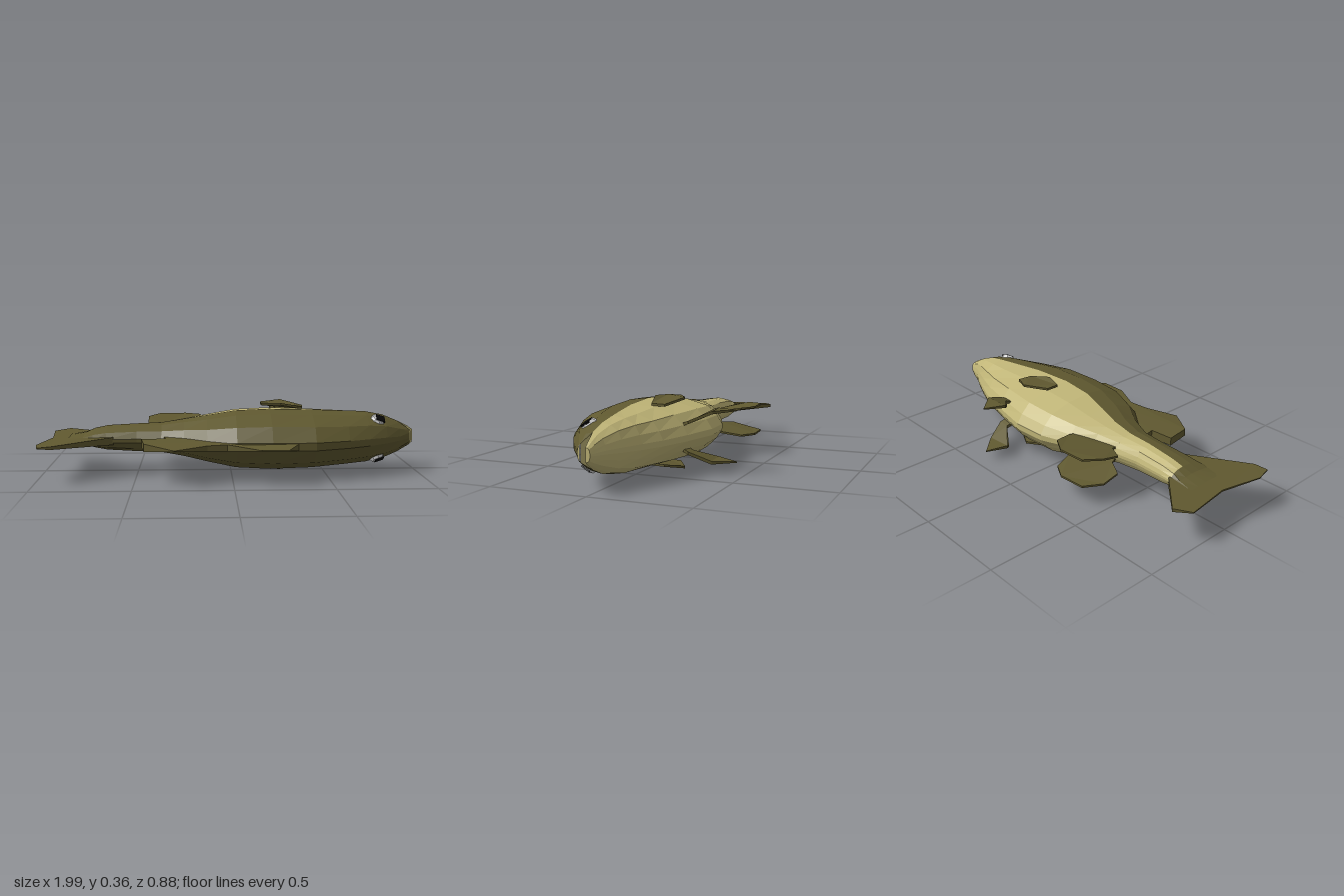
import * as THREE from 'three';

const MID = 0.184; // height of the plane of symmetry: the fish lies on its side

const paint = (name, color) => new THREE.MeshStandardMaterial({ name, color, flatShading: true });

// Skin rows of points (rows run towards +x); optionally cap the last row.
function loft(rows, cap = false) {
  const n = rows[0].length, index = [];
  for (let i = 0; i < rows.length - 1; i++) {
    for (let j = 0; j < n - 1; j++) {
      const a = i * n + j, c = a + n;
      index.push(a, a + 1, c, a + 1, c + 1, c);
    }
  }
  const last = (rows.length - 1) * n;
  if (cap) for (let j = 1; j < n - 1; j++) index.push(last, last + j, last + j + 1);
  const g = new THREE.BufferGeometry();
  g.setAttribute('position', new THREE.Float32BufferAttribute(rows.flat(2), 3));
  g.setIndex(index);
  g.computeVertexNormals();
  return g;
}

// Half cross-sections: [fraction from colour line to edge, fraction of half width]
const BACK = [[0, 1], [0.38, 0.91], [0.8, 0.6], [1, 0.13]];
const BELLY = [[0, 1], [0.4, 0.93], [0.76, 0.72], [0.91, 0.4], [1, 0.1]];

function section(profile, x, split, edge, h, side) {
  const pts = profile.map(([t, w]) => [x, side * w * h, split + (edge - split) * t]);
  return [...pts, ...pts.map(([px, y, z]) => [px, -y, z]).reverse()];
}
const backRow = ([x, top, split, , h]) => section(BACK, x, split, top, h, 1);
const bellyRow = ([x, , split, bottom, h]) => section(BELLY, x, split, bottom, h, -1);

// Thin plate from an [x, z] outline, bent by offset(x, z), half as thick as thick(x, z)
function fin(outline, side, offset, thick) {
  const shape = new THREE.Shape(outline.map(p => new THREE.Vector2(...p)));
  const g = new THREE.ExtrudeGeometry(shape, { depth: 1, bevelEnabled: false });
  const p = g.attributes.position;
  for (let i = 0; i < p.count; i++) {
    const x = p.getX(i), z = p.getY(i), d = p.getZ(i);
    p.setXYZ(i, x, side * offset(x, z) + thick(x, z) * (1 - 2 * d), z);
  }
  g.computeVertexNormals();
  return g;
}

export function createModel() {
  const olive = paint('olive', 0x605930);
  const cream = paint('paleBelly', 0xc0b577);
  const white = paint('eyeWhite', 0xd8d8d8);
  const black = paint('pupilBlack', 0x080808);

  const fish = new THREE.Group();
  fish.name = 'fish';
  fish.position.y = MID;
  const add = (name, geometry, material, parent = fish) => {
    const m = new THREE.Mesh(geometry, material);
    m.name = name;
    parent.add(m);
    return m;
  };

  // Body stations: x, back edge, colour line, belly edge, half width
  const root = [
    [-0.86, 0.15, 0.01, -0.13, 0.014],
    [-0.78, 0.14, 0, -0.11, 0.028],
    [-0.73, 0.135, -0.01, -0.095, 0.05]
  ];
  const body = [
    root[2],
    [-0.66, 0.13, -0.01, -0.092, 0.065],
    [-0.5, 0.125, 0, -0.09, 0.075],
    [-0.37, 0.135, 0, -0.11, 0.08],
    [-0.25, 0.19, 0.005, -0.155, 0.1],
    [-0.13, 0.28, 0.03, -0.22, 0.122],
    [0.02, 0.335, 0.055, -0.275, 0.15],
    [0.2, 0.345, 0.065, -0.285, 0.159],
    [0.42, 0.34, 0.055, -0.24, 0.153],
    [0.6, 0.28, 0.03, -0.19, 0.143],
    [0.72, 0.22, 0.01, -0.14, 0.137],
    [0.82, 0.16, 0.012, -0.093, 0.118],
    [0.9, 0.105, 0.018, -0.05, 0.085]
  ];
  const mouth = body[body.length - 1];
  const upperTip = [0.962, 0.062, 0.045, 0, 0.042];
  const lowerTip = [0.99, 0, 0.004, -0.018, 0.034];
  const lowerMid = [0.96, 0, 0.008, -0.03, 0.055];

  add('back', loft([...root.slice(0, 2), ...body, upperTip].map(backRow)), olive);
  add('belly', loft([...body, lowerMid, lowerTip].map(bellyRow), true), cream);
  add('tailRoot', loft(root.map(bellyRow)), olive);

  // Open mouth: pale upper lip, roof and floor
  const across = ([x, , split, , h], side) => [[x, side * h, split], [x, -side * h, split]];
  add('upperLip', loft([backRow(upperTip), backRow([0.968, 0.058, 0.046, 0, 0.036])], true), cream);
  add('mouthRoof', loft([mouth, upperTip].map(s => across(s, -1))), cream);
  add('mouthFloor', loft([mouth, lowerMid, lowerTip].map(s => across(s, 1))), cream);

  // Tail and back fins on the plane of symmetry
  const flat = () => 0;
  add('tailFin', fin([
    [-0.64, 0.1], [-0.62, 0.125], [-0.91, 0.325], [-0.98, 0.335], [-1, 0.245],
    [-0.95, 0.025], [-0.98, -0.215], [-0.9, -0.27], [-0.72, -0.098], [-0.72, -0.05]
  ], 1, flat, x => THREE.MathUtils.clamp((x + 1) * 0.09, 0.003, 0.02)), olive);
  add('backFin', fin([
    [-0.36, 0.11], [-0.345, 0.185], [-0.47, 0.195], [-0.45, 0.33], [-0.295, 0.437],
    [-0.13, 0.365], [-0.03, 0.35], [0.135, 0.44], [0.27, 0.44], [0.33, 0.345],
    [0.3, 0.28], [0, 0.25], [-0.15, 0.2]
  ], 1, flat, (x, z) => Math.min(0.022, 0.002 + (0.44 - z) * 0.16)), olive);

  // Paired fins and eyes
  for (const [label, side] of [['upper', 1], ['lower', -1]]) {
    add(label + 'SideFin', fin([
      [0.28, -0.17], [0.4, -0.11], [0.39, -0.035], [0.265, 0], [0.165, -0.03], [0.165, -0.1]
    ], side, x => (x > 0.3 ? 0.15 : x > 0.2 ? 0.176 : 0.172), () => 0.006), olive);

    add(label + 'BellyFin', fin([
      [0.4, -0.2], [0.415, -0.24], [0.37, -0.345], [0.28, -0.445], [0.235, -0.335],
      [0.24, -0.32], [0.35, -0.245], [0.34, -0.2]
    ], side, (x, z) => (z > -0.3 ? 0.06 + (-0.2 - z) * 0.4 : 0.122 + (-0.32 - z) * 0.05),
    (x, z) => (z < -0.4 ? 0.003 : 0.008)), olive);

    add(label + 'RearFin', fin([
      [-0.14, -0.19], [-0.14, -0.215], [-0.165, -0.32], [-0.25, -0.37], [-0.395, -0.36],
      [-0.455, -0.27], [-0.455, -0.175], [-0.37, -0.13], [-0.36, -0.09], [-0.25, -0.13]
    ], side, (x, z) => Math.min(0.075, 0.04 + (-0.13 - z) * 0.22), () => 0.005), olive);

    const eye = new THREE.Group();
    eye.name = label + 'Eye';
    eye.position.set(0.778, side * 0.1, 0.102);
    eye.quaternion.setFromUnitVectors(
      new THREE.Vector3(0, side, 0),
      new THREE.Vector3(0.3, side * 0.82, 0.49).normalize()
    );
    fish.add(eye);
    add('eyeball', new THREE.CylinderGeometry(
      side > 0 ? 0.032 : 0.048, side > 0 ? 0.048 : 0.032, 0.03, 8), white, eye);
    const pupil = add('pupil', new THREE.CylinderGeometry(0.034, 0.034, 0.008, 4), black, eye);
    pupil.position.set(0.008, side * 0.014, 0);
    pupil.rotation.y = Math.PI / 4;
  }

  const model = new THREE.Group();
  model.name = 'model';
  model.add(fish);
  return model;
}
